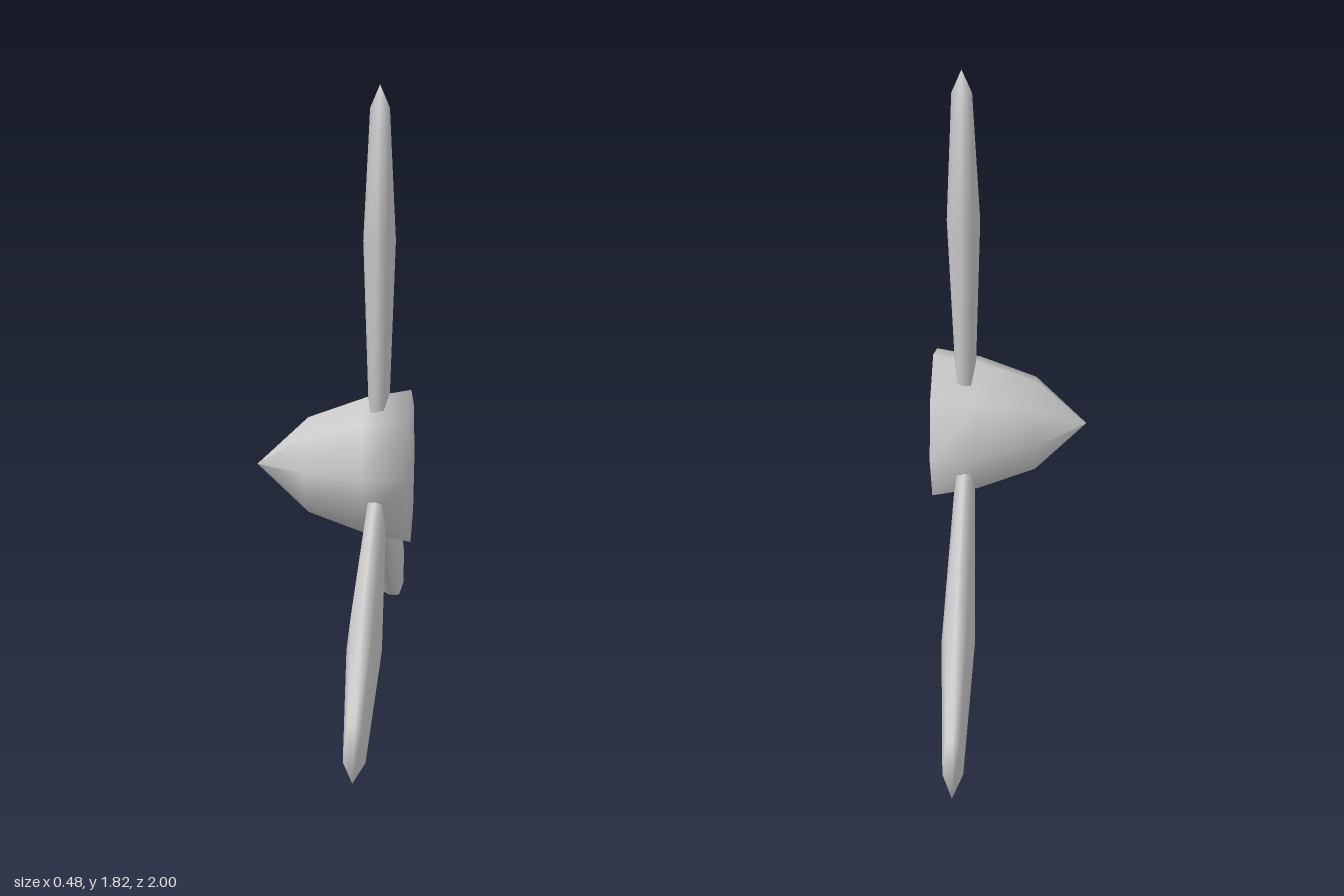
import * as THREE from 'three';

const material = new THREE.MeshStandardMaterial({ color: 0xcccccc });

// Blade stations: [distance along blade, half width, half thickness, crown of the ring]
const STATIONS = [
  [0.05, 0.083, 0.028, 0],
  [0.685, 0.14, 0.05, 0],
  [1.015, 0.067, 0.03, 0.07],
];
const BLADE_LENGTH = 1.155;

// Cross-section as fractions of half thickness (x) and half width (z)
const SECTION = [
  [1, 0], [0.65, 0.96], [0, 1], [-0.65, 0.96],
  [-1, 0], [-0.65, -0.96], [0, -1], [0.65, -0.96],
];

// Smooth blade growing along +y and closing in a pointed tip
function bladeGeometry() {
  const positions = [];
  const index = [];
  const n = SECTION.length;
  for (const [along, width, thick, crown] of STATIONS) {
    for (const [sx, sz] of SECTION) {
      positions.push(sx * thick, along + crown * (1 - Math.abs(sz)), sz * width);
    }
  }
  positions.push(0, BLADE_LENGTH, 0);
  const tip = STATIONS.length * n;

  for (let s = 0; s < STATIONS.length; s++) {
    for (let i = 0; i < n; i++) {
      const a = s * n + i;
      const b = s * n + (i + 1) % n;
      if (s === STATIONS.length - 1) index.push(a, tip, b);
      else index.push(a, a + n, b, b, a + n, b + n);
    }
  }
  // Root cap, hidden inside the spinner
  for (let i = 1; i < n - 1; i++) index.push(0, i, i + 1);

  const geometry = new THREE.BufferGeometry();
  geometry.setAttribute('position', new THREE.Float32BufferAttribute(positions, 3));
  geometry.setIndex(index);
  geometry.computeVertexNormals();
  return geometry;
}

export function createModel() {
  const model = new THREE.Group();
  model.name = 'propeller';

  // Eight-sided spinner cone with a closed back, pointing to -x
  const profile = [[0, -0.24], [0.15, -0.08], [0.215, 0.1], [0.24, 0.24], [0, 0.24]]
    .map(([r, y]) => new THREE.Vector2(r, y));
  const spinner = new THREE.Mesh(new THREE.LatheGeometry(profile, 8), material);
  spinner.name = 'spinner';
  spinner.rotation.z = -Math.PI / 2;
  spinner.position.y = 0.65;
  model.add(spinner);

  // Three blades; the lower two sit slightly lower on the hub
  const geometry = bladeGeometry();
  const blades = [['topBlade', 0, 0.665], ['frontBlade', 1, 0.577], ['backBlade', -1, 0.577]];
  for (const [name, turn, height] of blades) {
    const blade = new THREE.Mesh(geometry, material);
    blade.name = name;
    blade.position.set(0.14, height, 0);
    blade.rotation.x = turn * Math.PI * 2 / 3;
    model.add(blade);
  }
  return model;
}
